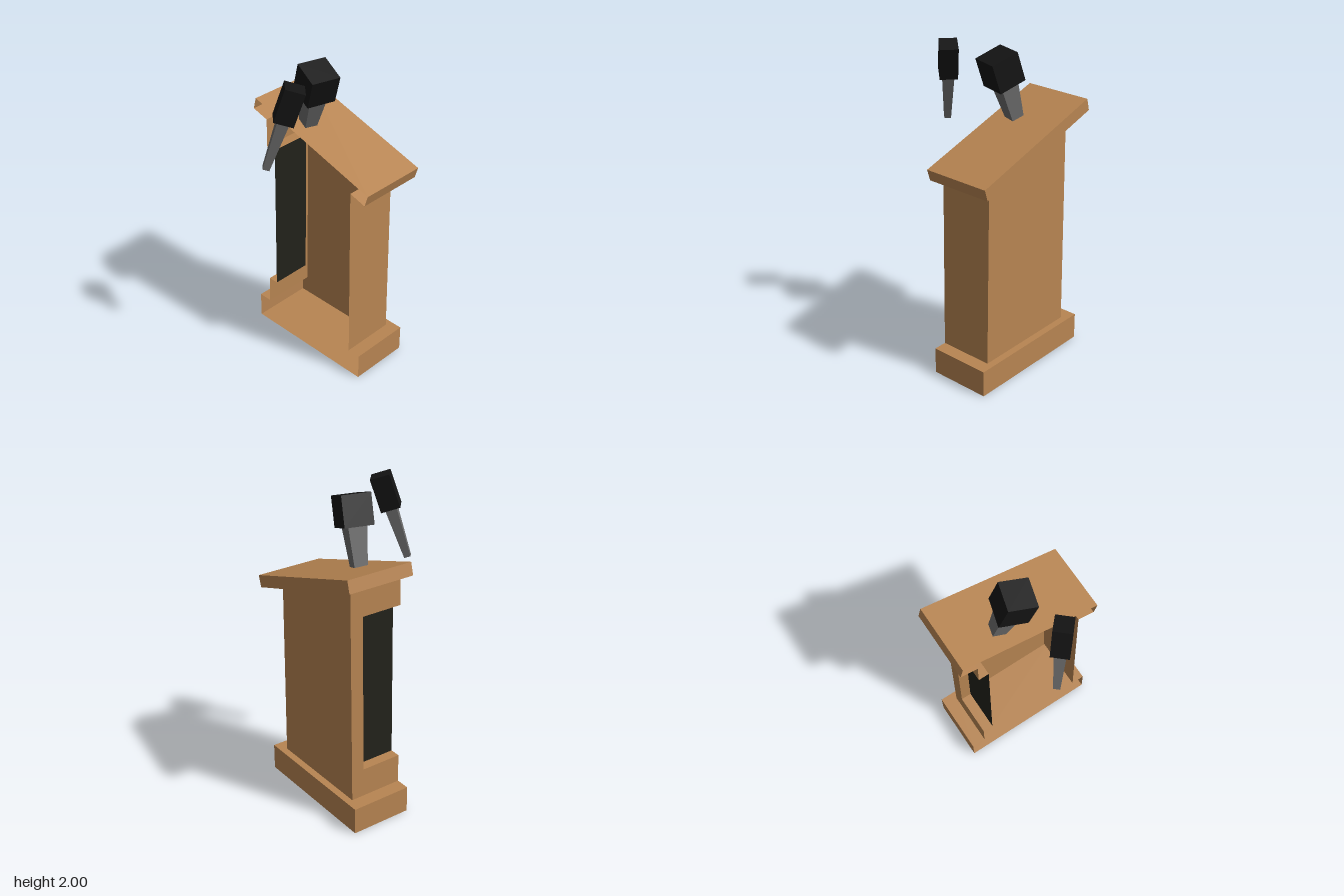
import * as THREE from 'three';

const WOOD = 0xb88552, DARK = 0x22221b, GREY = 0x6c6c6c, BLACK = 0x141414;
const FRONT = 0.05; // plane of the open front

const mat = (color) => new THREE.MeshStandardMaterial({ color, flatShading: true, side: THREE.DoubleSide });

// Thin sheet made of quads, each with four [x, y, z] corners
function sheet(name, quads, color) {
  const pos = quads.flatMap(([a, b, c, d]) => [a, b, c, a, c, d].flat());
  const geo = new THREE.BufferGeometry();
  geo.setAttribute('position', new THREE.Float32BufferAttribute(pos, 3));
  geo.computeVertexNormals();
  const mesh = new THREE.Mesh(geo, mat(color));
  mesh.name = name;
  return mesh;
}

// U-shaped section, open at the front: front right, back right, back left, front left
const section = (xa, ya, xb, yb, back) => [[xa, ya, FRONT], [xa, ya, back], [xb, yb, back], [xb, yb, FRONT]];

// Walls between two sections, optionally skipping the first wall
function walls(lo, hi, first = 0) {
  const quads = [];
  for (let i = first; i < 3; i++) quads.push([lo[i], hi[i], hi[i + 1], lo[i + 1]]);
  return quads;
}

// Microphone: block head on a tapered square handle; position is the underside of the head
function microphone(name, position, yaw, tilt, head, handle) {
  const g = new THREE.Group();
  g.name = name;
  const [d, h, w] = head, [top, bottom, len] = handle;
  const block = new THREE.Mesh(new THREE.BoxGeometry(d, h, w), mat(BLACK));
  block.position.y = h / 2;
  block.name = 'microphoneHead';
  const grip = new THREE.Mesh(
    new THREE.CylinderGeometry(top * Math.SQRT1_2, bottom * Math.SQRT1_2, len, 4).rotateY(Math.PI / 4), mat(GREY));
  grip.position.y = -len / 2;
  grip.name = 'microphoneHandle';
  g.add(block, grip);
  g.position.set(...position);
  g.rotation.set(0, yaw, -tilt);
  return g;
}

export function createModel() {
  const model = new THREE.Group();
  model.name = 'lectern';

  const floor = section(-0.46, 0, 0.43, 0, -0.345);
  const step = section(-0.46, 0.17, 0.43, 0.17, -0.345);
  const foot = section(-0.37, 0.17, 0.345, 0.17, -0.3);
  const neck = section(-0.355, 1.546, 0.33, 1.334, -0.3);
  const under = section(-0.465, 1.58, 0.44, 1.3, -0.385);
  const top = section(-0.445, 1.655, 0.462, 1.372, -0.385);

  // Base with floor and a ledge around the body
  model.add(sheet('base', [...walls(floor, step), ...walls(step, foot), floor], WOOD));

  // Back and left walls of the body
  model.add(sheet('body', walls(foot, neck, 1), WOOD));

  // Right wall with a recess reaching the open front
  const y0 = 0.355, y1 = 1.36, rim = -0.215, depth = 0.067;
  const outer = (y, z) => [-0.37 + 0.015 * (y - 0.17) / 1.376, y, z];
  const inner = (y, z) => [outer(y, z)[0] + depth, y, z];
  const band = (a, b, zf, f = outer) => [f(a, zf), f(b, zf), f(b, -0.3), f(a, -0.3)];
  model.add(sheet('recessedWall', [
    band(0.17, y0, FRONT), band(y0, y1, rim), band(y1, 1.546, FRONT),
    [outer(y0, FRONT), inner(y0, FRONT), inner(y0, rim), outer(y0, rim)],
    [outer(y1, FRONT), outer(y1, rim), inner(y1, rim), inner(y1, FRONT)],
    [outer(y0, rim), inner(y0, rim), inner(y1, rim), outer(y1, rim)],
  ], WOOD));
  model.add(sheet('darkPanel', [
    [inner(y0, FRONT), inner(y1, FRONT), inner(y1, rim), inner(y0, rim)],
  ], DARK));

  // Slanted reading board
  model.add(sheet('readingBoard', [...walls(neck, under), ...walls(under, top), [...top].reverse()], WOOD));

  model.add(
    microphone('smallMicrophone', [0.0325, 1.7825, 0.2825], 0.838, 0.325, [0.118, 0.211, 0.108], [0.07, 0.04, 0.32]),
    microphone('largeMicrophone', [-0.0725, 1.775, -0.064], -0.275, 0.315, [0.178, 0.184, 0.179], [0.115, 0.072, 0.284]),
  );
  return model;
}
